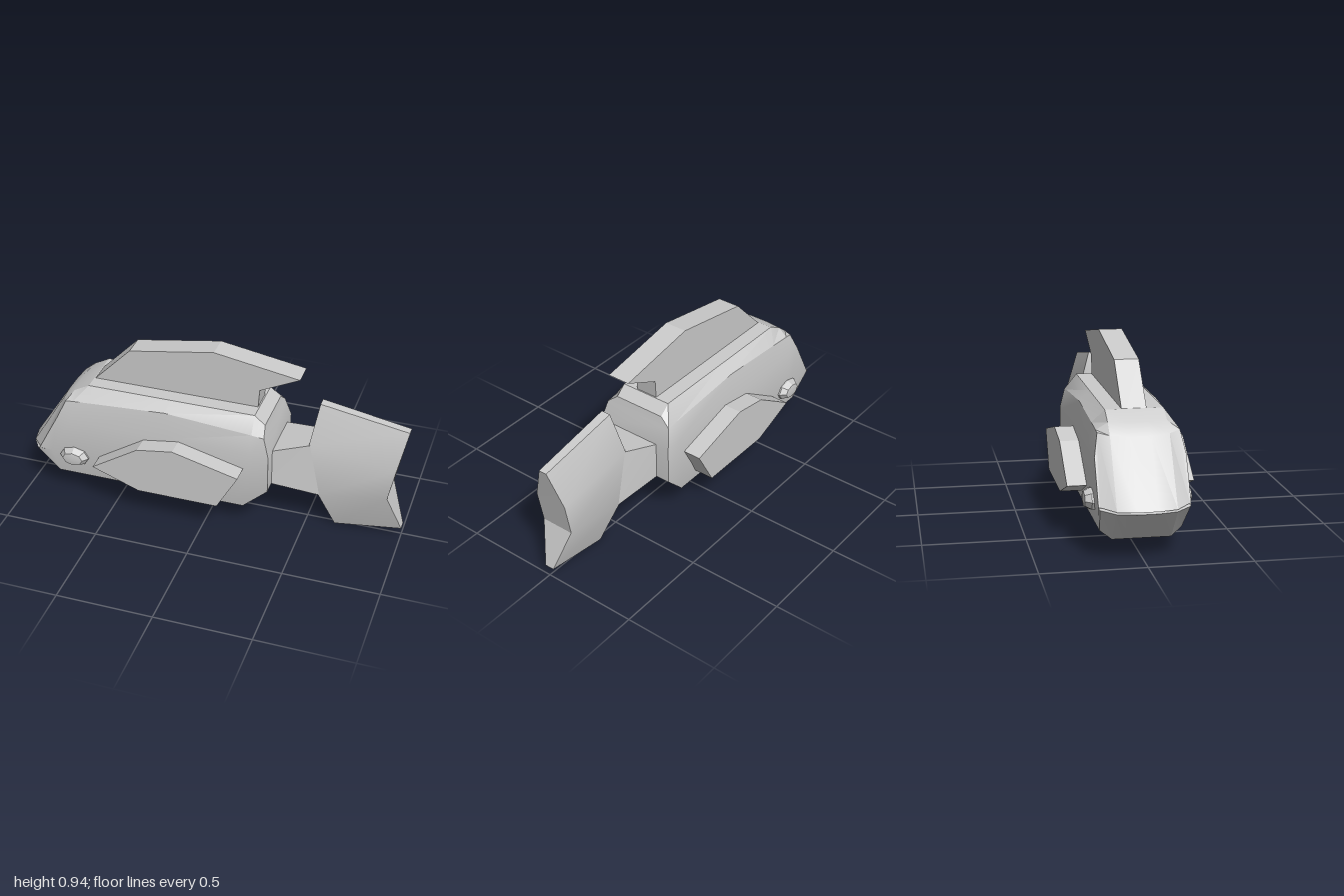
import * as THREE from 'three';
import { toCreasedNormals } from 'three/addons/utils/BufferGeometryUtils.js';

const material = new THREE.MeshStandardMaterial({ color: 0xcccccc });

function addMesh(parent, name, geometry) {
  const mesh = new THREE.Mesh(geometry, material);
  mesh.name = name;
  parent.add(mesh);
  return mesh;
}

// Lofts half sections (bottom to top, +z side, ordered along +x), mirrored in z and capped.
function loft(halves, crease) {
  const n = halves[0].length;
  const rings = halves.map((h) => [...h, ...[...h].reverse().map(([x, y, z]) => [x, y, -z])]);
  const pos = [];
  const quad = (a, b, c, d) => pos.push(...a, ...b, ...c, ...a, ...c, ...d);
  for (let i = 0; i + 1 < rings.length; i++) {
    for (let j = 0; j < 2 * n; j++) {
      const k = (j + 1) % (2 * n);
      quad(rings[i][j], rings[i + 1][j], rings[i + 1][k], rings[i][k]);
    }
  }
  const first = rings[0], last = rings[rings.length - 1], m = 2 * n - 1;
  for (let j = 0; j + 1 < n; j++) {
    quad(last[j], last[m - j], last[m - j - 1], last[j + 1]);
    quad(first[j], first[j + 1], first[m - j - 1], first[m - j]);
  }
  const geometry = new THREE.BufferGeometry();
  geometry.setAttribute('position', new THREE.Float32BufferAttribute(pos, 3));
  return toCreasedNormals(geometry, crease);
}

// Flat plate with an outline in x and y, spanning z0 to z1.
function plate(outline, z0, z1) {
  const shape = new THREE.Shape(outline.map(([x, y]) => new THREE.Vector2(x, y)));
  return new THREE.ExtrudeGeometry(shape, { depth: z1 - z0, bevelEnabled: false }).translate(0, 0, z0);
}

// Body section from the x, y of its eight edges; z comes from the shared half widths.
const widths = [0.05, 0.14, 0.195, 0.215, 0.215, 0.195, 0.14, 0.05];
const section = (...points) => points.map(([x, y], i) => [x, y, widths[i]]);

export function createModel() {
  const fish = new THREE.Group();
  fish.name = 'fish';

  // Body, from nose to rear face
  const nose = section([-1, 0.255], [-0.98, 0.255], [-0.935, 0.265], [-0.92, 0.27],
    [-0.92, 0.275], [-0.92, 0.275], [-0.98, 0.265], [-1, 0.265]);
  for (const i of [2, 5]) nose[i][2] = 0.21;
  addMesh(fish, 'body', loft([
    nose,
    section([-0.84, 0.095], [-0.84, 0.095], [-0.82, 0.135], [-0.85, 0.27],
      [-0.81, 0.48], [-0.76, 0.585], [-0.79, 0.575], [-0.8, 0.57]),
    section([-0.74, 0.095], [-0.74, 0.095], [-0.74, 0.135], [-0.74, 0.27],
      [-0.73, 0.48], [-0.72, 0.589], [-0.73, 0.624], [-0.74, 0.624]),
    section([-0.6, 0.095], [-0.6, 0.095], [-0.6, 0.135], [-0.6, 0.27],
      [-0.6, 0.48], [-0.6, 0.597], [-0.65, 0.667], [-0.65, 0.667]),
    section([-0.2, 0.095], [-0.2, 0.095], [-0.2, 0.135], [-0.2, 0.27],
      [-0.2, 0.48], [-0.22, 0.62], [-0.2, 0.667], [-0.2, 0.667]),
    section([0.1, 0.095], [0.1, 0.095], [0.12, 0.135], [0.22, 0.27],
      [0.24, 0.48], [0.24, 0.583], [0.24, 0.667], [0.24, 0.667]),
    section([0.16, 0.095], [0.16, 0.095], [0.2, 0.135], [0.335, 0.27],
      [0.335, 0.475], [0.305, 0.575], [0.295, 0.62], [0.295, 0.62]),
  ], 0.4));

  // Tail root and tail fin, thinning toward the fin tips
  addMesh(fish, 'tailRoot', loft([
    [[0.33, 0.27, 0.14], [0.33, 0.47, 0.14]],
    [[0.575, 0.215, 0.088], [0.515, 0.51, 0.088]],
  ], 0.3));
  addMesh(fish, 'tailFin', loft([
    [[0.65, 0.005, 0.025], [0.57, 0.215, 0.088], [0.51, 0.51, 0.088], [0.545, 0.725, 0.025]],
    [[1, 0.055, 0.025], [0.925, 0.27, 0.088], [0.96, 0.45, 0.088], [1, 0.645, 0.022]],
  ], 0.4));

  // Back fin
  addMesh(fish, 'backFin', plate([
    [-0.69, 0.62], [0.23, 0.62], [0.24, 0.765], [0.445, 0.865], [0, 0.94], [-0.45, 0.865],
  ], -0.06, 0.06));

  // Side fins
  const sideFin = [[-0.58, 0.285], [-0.33, 0.19], [0.095, 0.19], [0.205, 0.385], [-0.14, 0.475], [-0.33, 0.445]];
  addMesh(fish, 'leftFin', plate(sideFin, 0.2, 0.31));
  addMesh(fish, 'rightFin', plate(sideFin, -0.31, -0.2));

  // Eyes, faceted domes on both sides
  const dome = [[0.08, 0], [0.08, 0.02], [0.055, 0.05], [0, 0.057]].map(([r, h]) => new THREE.Vector2(r, h));
  for (const side of [1, -1]) {
    const eye = addMesh(fish, side > 0 ? 'leftEye' : 'rightEye',
      toCreasedNormals(new THREE.LatheGeometry(dome, 8), 0.3));
    eye.position.set(-0.72, 0.262, side * 0.203);
    eye.rotation.x = side * Math.PI / 2;
    eye.scale.z = 0.66;
  }
  return fish;
}
